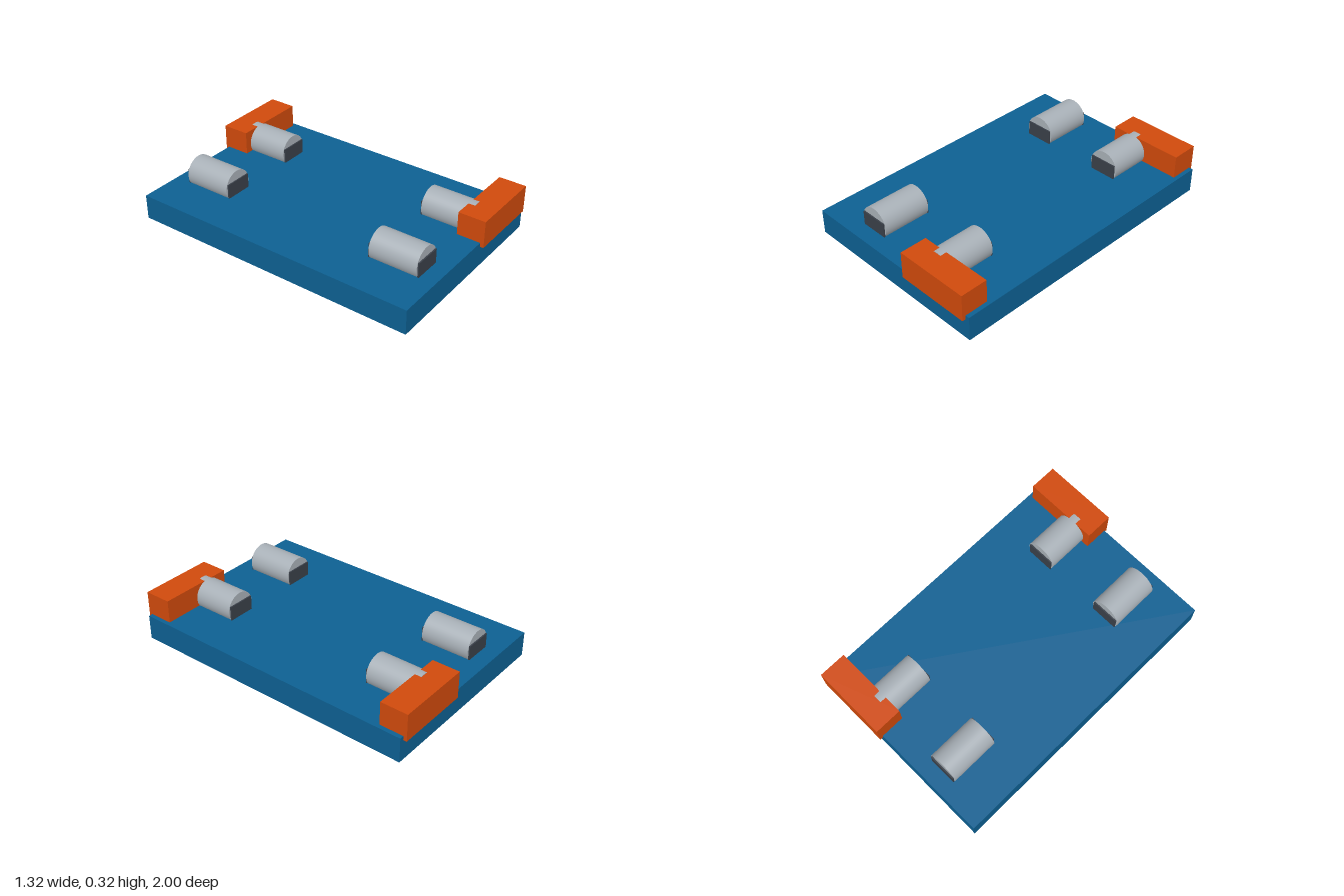
import * as THREE from 'three';

const material = (name, color) => {
  const m = new THREE.MeshStandardMaterial({ color });
  m.name = name;
  return m;
};

export function createModel() {
  const model = new THREE.Group();
  model.name = 'baseWithRollers';
  const blue = material('blue', 0x0d6092);
  const grey = material('lightGrey', 0xa8b0b7);
  const dark = material('darkGrey', 0x3a4049);
  const orange = material('orange', 0xd04a0c);

  const add = (parent, name, geometry, mat, x, y, z) => {
    const mesh = new THREE.Mesh(geometry, mat);
    mesh.name = name;
    mesh.position.set(x, y, z);
    parent.add(mesh);
    return mesh;
  };

  // Base slab
  add(model, 'base', new THREE.BoxGeometry(1.318, 0.165, 1.954), blue, 0, 0.0825, 0);

  // Shared shapes: roller lying along z, and its thin end plate
  const rollerShape = new THREE.CylinderGeometry(0.104, 0.104, 0.324, 48).rotateX(Math.PI / 2);
  const plateShape = new THREE.BoxGeometry(0.184, 0.11, 0.009);
  const blockShape = new THREE.BoxGeometry(0.5, 0.181, 0.182);

  for (const side of [1, -1]) {
    const end = side > 0 ? 'front' : 'back';

    // Two half-sunk rollers with a dark plate on each end
    for (const x of [-0.283, 0.279]) {
      const roller = new THREE.Group();
      roller.name = end + (x > 0 ? 'Left' : 'Right') + 'Roller';
      roller.position.set(x, 0.219, side * 0.7);
      add(roller, 'rollerBody', rollerShape, grey, 0, 0, 0);
      for (const s of [1, -1]) {
        add(roller, 'endPlate', plateShape, dark, 0, -0.013, s * 0.1665);
      }
      model.add(roller);
    }

    // Block overhanging the end of the base
    add(model, end + 'Block', blockShape, orange, 0.381, 0.2285, side * 0.909);
  }
  return model;
}
